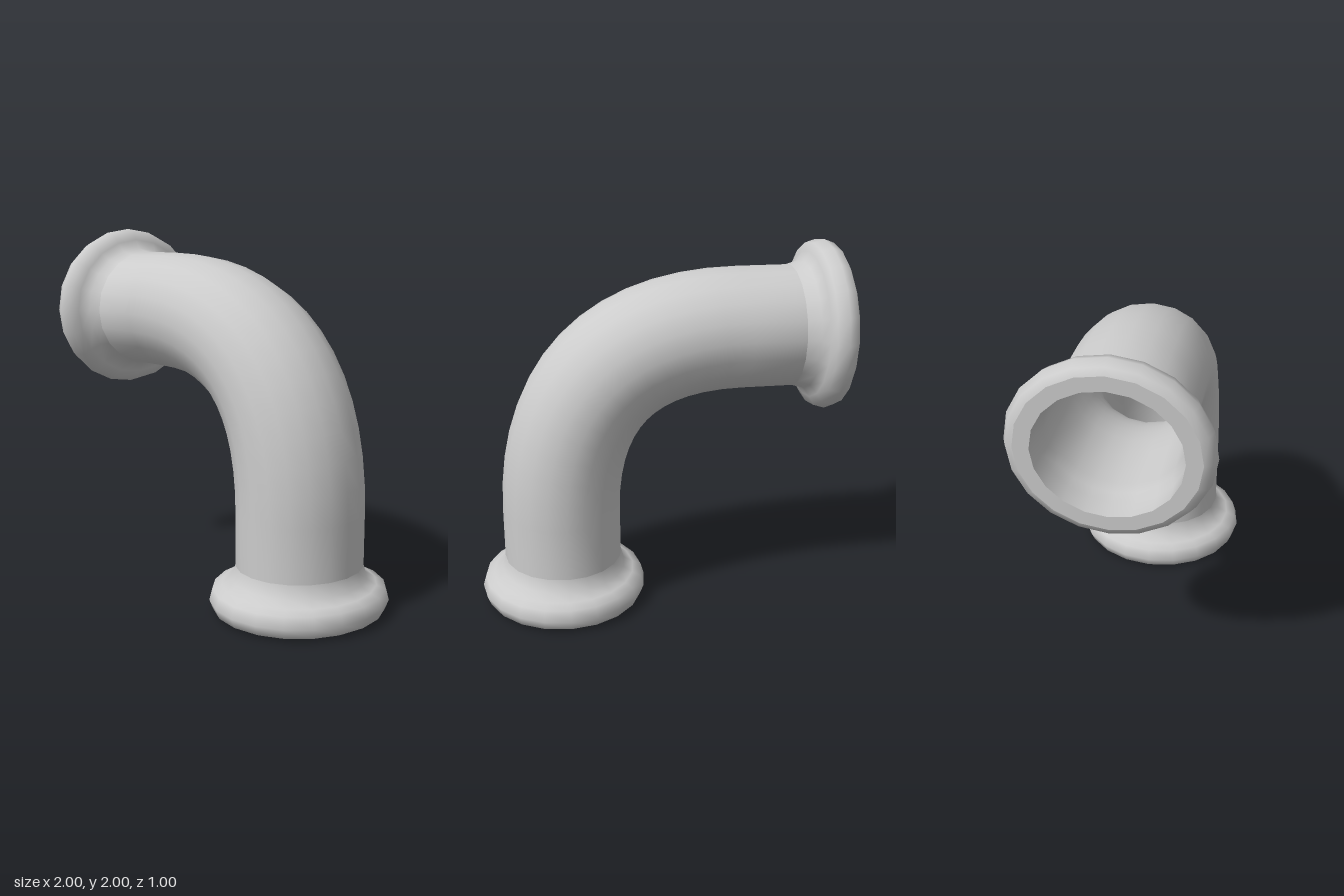
import * as THREE from 'three';

const SIDES = 20;
const AXIS_X = 0.53, AXIS_Y = 1.535; // axes of the upright and level legs
const BEND = 1.0;                    // distance from the corner at which the bend starts
const Z_STRETCH = 1.07;              // the section is slightly deeper than wide

// Stations hold a point, the in-plane normal and a radius
const levelStation = (d, r) => ({ x: -1 + d, y: AXIS_Y, nx: 0, ny: 1, r });
const uprightStation = (d, r) => ({ x: AXIS_X, y: d, nx: 1, ny: 0, r });

// Stations along the bent centreline, from the level leg to the upright leg
function elbowStations(r, depth) {
  const curve = new THREE.QuadraticBezierCurve(
    new THREE.Vector2(AXIS_X - BEND, AXIS_Y),
    new THREE.Vector2(AXIS_X, AXIS_Y),
    new THREE.Vector2(AXIS_X, AXIS_Y - BEND)
  );
  const out = [levelStation(depth, r)];
  const steps = 14;
  for (let i = 0; i <= steps; i++) {
    const p = curve.getPoint(i / steps), t = curve.getTangent(i / steps);
    out.push({ x: p.x, y: p.y, nx: -t.y, ny: t.x, r });
  }
  out.push(uprightStation(depth, r));
  return out;
}

// Skin a list of stations with smooth rings
function loft(name, stations, material) {
  const pos = [], index = [];
  stations.forEach((s, i) => {
    for (let j = 0; j < SIDES; j++) {
      const a = (j / SIDES) * Math.PI * 2, c = Math.cos(a) * s.r;
      pos.push(s.x + s.nx * c, s.y + s.ny * c, Math.sin(a) * s.r * Z_STRETCH);
      if (i === 0) continue;
      const k = (j + 1) % SIDES, p = (i - 1) * SIDES, q = i * SIDES;
      index.push(p + j, p + k, q + j, p + k, q + k, q + j);
    }
  });
  const geo = new THREE.BufferGeometry();
  geo.setAttribute('position', new THREE.Float32BufferAttribute(pos, 3));
  geo.setIndex(index);
  geo.computeVertexNormals();
  const mesh = new THREE.Mesh(geo, material);
  mesh.name = name;
  return mesh;
}

export function createModel() {
  const group = new THREE.Group();
  group.name = 'pipeElbow';
  const material = new THREE.MeshStandardMaterial({ color: 0xcccccc, side: THREE.DoubleSide });

  // Profiles as [depth from the open end, radius]
  const collar = [[0, 0.41], [0.018, 0.445], [0.07, 0.465], [0.13, 0.447], [0.15, 0.4], [0.18, 0.35], [0.25, 0.331]];
  const face = [[0, 0.335], [0, 0.41]];
  const socket = [[0, 0.335], [0.12, 0.335], [0.17, 0.318]];

  // Outer wall of the bent pipe
  group.add(loft('pipe', elbowStations(0.331, 0.25), material));

  // Rounded collar and flat end face at each opening
  const ends = [['level', levelStation, false], ['upright', uprightStation, true]];
  for (const [name, station, flip] of ends) {
    for (const [part, profile] of [['Collar', collar], ['EndFace', face]]) {
      const rings = profile.map(([d, r]) => station(d, r));
      group.add(loft(name + part, flip ? rings.reverse() : rings, material));
    }
  }

  // Hollow bore with a shallow socket at both ends, facing inward
  const bore = [
    ...socket.map(([d, r]) => levelStation(d, r)),
    ...elbowStations(0.318, 0.25),
    ...socket.map(([d, r]) => uprightStation(d, r)).reverse()
  ];
  const boreMesh = loft('bore', bore, material);
  const idx = boreMesh.geometry.index.array;
  for (let i = 0; i < idx.length; i += 3) [idx[i], idx[i + 1]] = [idx[i + 1], idx[i]];
  boreMesh.geometry.computeVertexNormals();
  group.add(boreMesh);

  return group;
}
